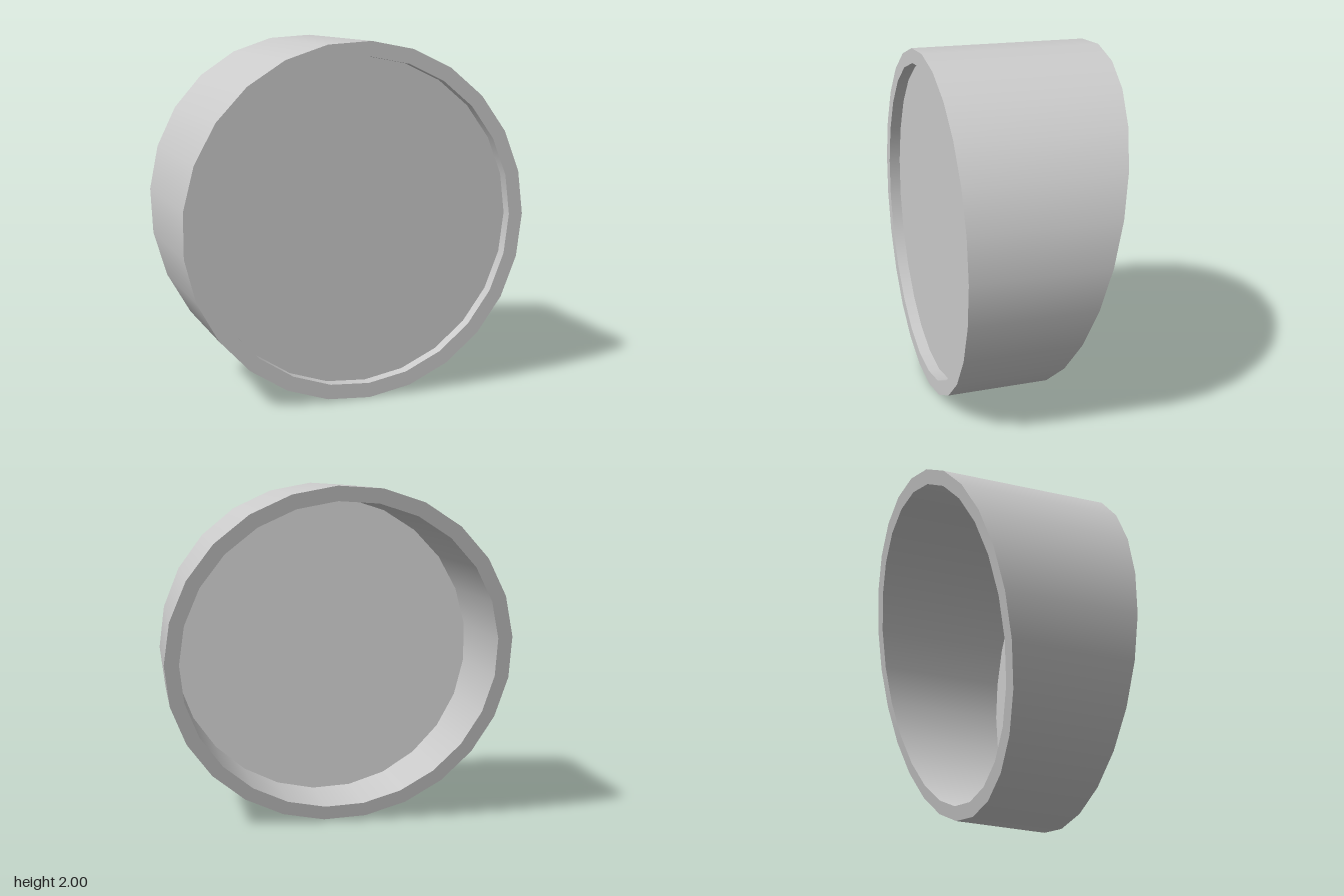
import * as THREE from 'three';

const SIDES = 25;
const OUTER = 1.002, INNER = 0.918;
const FRONT = 0.515, BACK = -0.27;

// One band of the ring, swept round the z axis; its back edge lies on a slanted plane
function band(name, from, to, material) {
  const points = [from, to].map(([r, z]) => new THREE.Vector2(r, z));
  const geometry = new THREE.LatheGeometry(points, SIDES, Math.PI / 2);
  geometry.rotateX(Math.PI / 2);
  const pos = geometry.attributes.position;
  for (let i = 0; i < pos.count; i++) {
    if (pos.getZ(i) > 0) continue;
    const y = 0.004 + 0.992 * pos.getY(i);
    pos.setY(i, y);
    pos.setZ(i, BACK - 0.248 * y);
  }
  if (name === 'backRim') geometry.computeVertexNormals();
  const mesh = new THREE.Mesh(geometry, material);
  mesh.name = name;
  return mesh;
}

export function createModel() {
  const grey = new THREE.MeshStandardMaterial({ color: 0xcccccc });
  const thin = new THREE.MeshStandardMaterial({ color: 0xcccccc, side: THREE.DoubleSide });
  const model = new THREE.Group();
  model.name = 'slantedHousing';

  // Tube wall: closed loop of four bands with sharp edges between them
  const corners = [[OUTER, BACK], [OUTER, FRONT], [INNER, FRONT], [INNER, BACK]];
  ['outerWall', 'frontRim', 'innerWall', 'backRim'].forEach((name, i) => {
    model.add(band(name, corners[i], corners[(i + 1) % 4], grey));
  });

  // Thin disc recessed behind the front rim
  const disc = new THREE.Mesh(new THREE.CircleGeometry(INNER, SIDES), thin);
  disc.name = 'frontDisc';
  disc.position.z = 0.45;
  model.add(disc);

  model.position.set(-0.004 + 0.004, 1, 0);
  model.children.forEach((part) => { part.position.x = -0.004; });
  return model;
}
